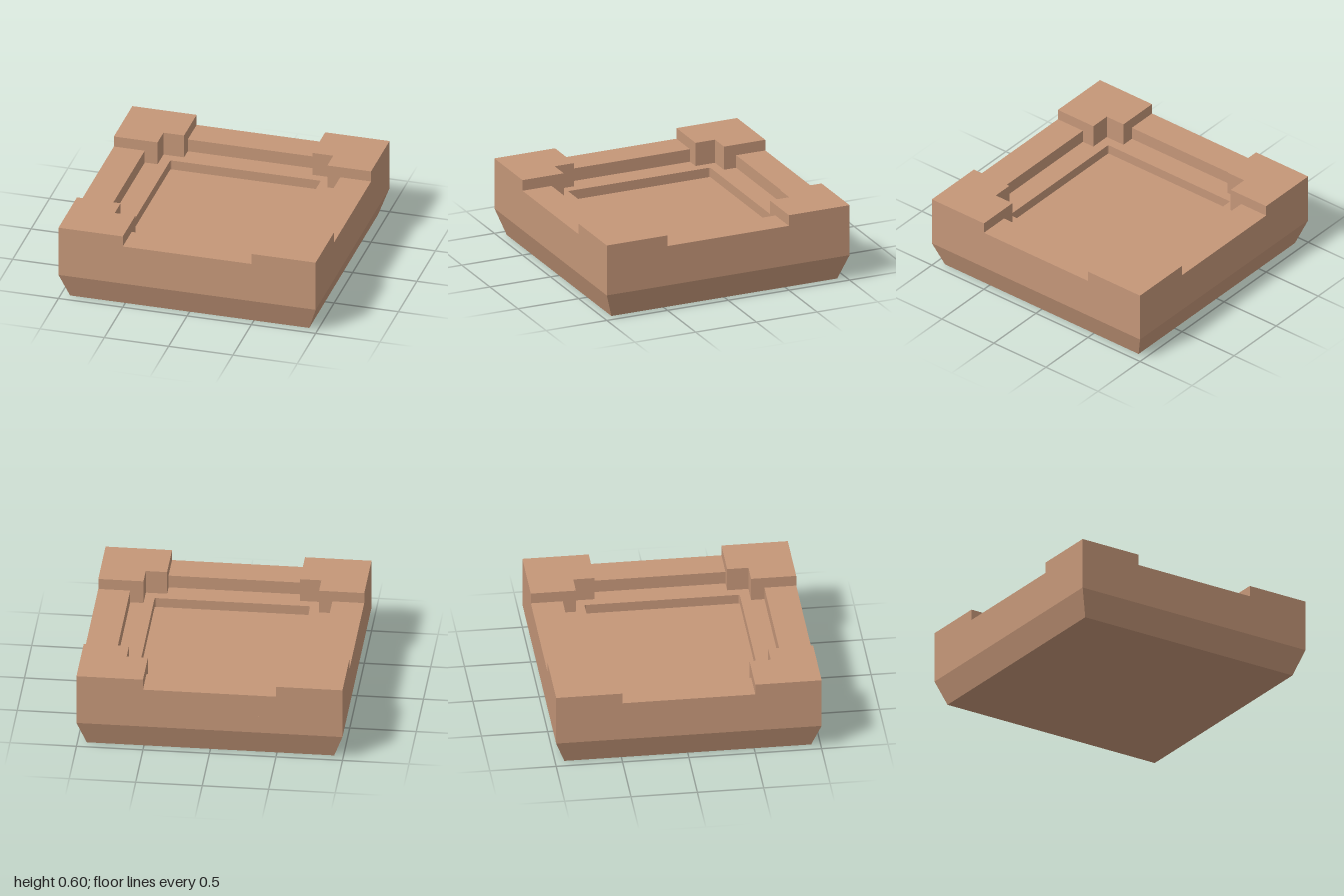
import * as THREE from 'three';

const clay = new THREE.MeshStandardMaterial({ color: 0xc49678, flatShading: true });
clay.name = 'clay';

// Heights of the stepped levels
const CHAMFER = 0.2, FLOOR = 0.34, LEDGE = 0.415, WALL = 0.515, TOP = 0.6;

// Outline on the ground plane (x, -z) raised from y0 to y1
function slab(name, shape, y0, y1) {
  const geometry = new THREE.ExtrudeGeometry(shape, { depth: y1 - y0, bevelEnabled: false, curveSegments: 3 });
  geometry.rotateX(-Math.PI / 2).translate(0, y0, 0);
  const mesh = new THREE.Mesh(geometry, clay);
  mesh.name = name;
  return mesh;
}

const outline = (points) => new THREE.Shape(points.map(([x, y]) => new THREE.Vector2(x, y)));
const rect = (x0, y0, x1, y1) => outline([[x0, y0], [x1, y0], [x1, y1], [x0, y1]]);

// Square hole with slightly softened corners
function recess(h, r) {
  const path = new THREE.Path();
  for (let i = 0; i < 4; i++) {
    const a = i * Math.PI / 2, m = h - r;
    const sx = i === 0 || i === 3 ? 1 : -1, sy = i < 2 ? 1 : -1;
    path.absarc(sx * m, sy * m, r, a, a + Math.PI / 2, false);
  }
  path.closePath();
  return path;
}

export function createModel() {
  const model = new THREE.Group();
  model.name = 'steppedTray';

  // Tapered foot
  const footGeometry = new THREE.CylinderGeometry(Math.SQRT2, 0.93 * Math.SQRT2, CHAMFER, 4);
  footGeometry.rotateY(Math.PI / 4).translate(0, CHAMFER / 2, 0);
  const foot = new THREE.Mesh(footGeometry, clay);
  foot.name = 'taperedFoot';
  model.add(foot);

  // Solid body up to the sunken floor, then the ledge around the recess
  model.add(slab('body', rect(-1, -1, 1, 1), CHAMFER, FLOOR));
  const ledge = rect(-1, -1, 1, 1);
  ledge.holes.push(recess(0.585, 0.012));
  model.add(slab('ledge', ledge, FLOOR, LEDGE));

  // Low walls and raised notched corners, repeated on all four sides
  const corner = outline([[1, 1], [0.5, 1], [0.5, 0.66], [0.66, 0.66], [0.66, 0.5], [1, 0.5]]);
  for (let i = 0; i < 4; i++) {
    const side = new THREE.Group();
    side.name = 'rimSide' + (i + 1);
    side.add(slab('lowWall', rect(0.76, -0.5, 1, 0.5), LEDGE, WALL));
    side.add(slab('cornerBlock', corner, LEDGE, TOP));
    side.rotation.y = i * Math.PI / 2;
    model.add(side);
  }
  return model;
}
